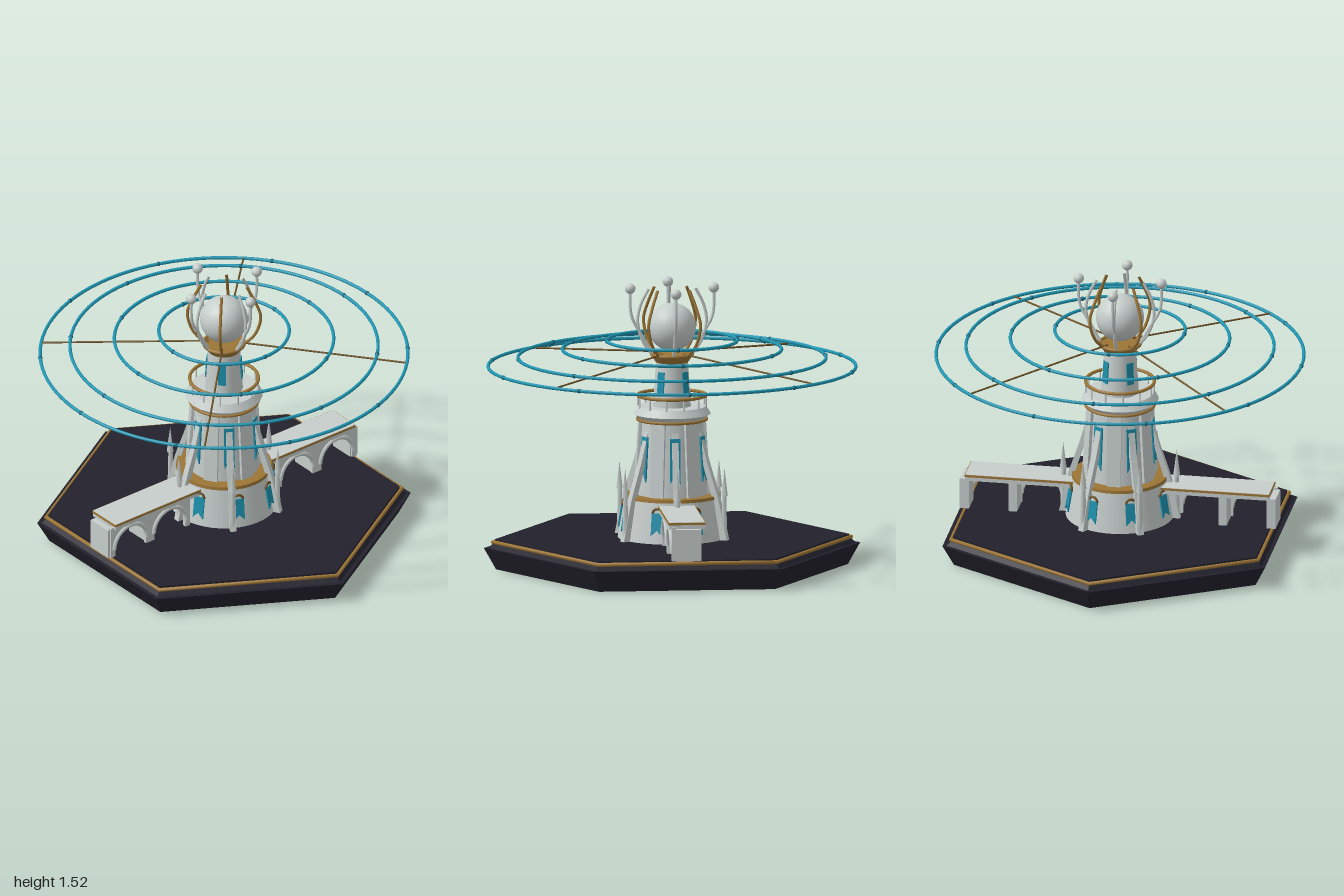
import * as THREE from 'three';

const mat = (name, color) => {
  const m = new THREE.MeshStandardMaterial({ color });
  m.name = name;
  return m;
};
const D = THREE.MathUtils.degToRad;

export function createModel() {
  const stone = mat('pale stone', 0xc6cecc);
  const dark = mat('dark slate', 0x22212c);
  const gold = mat('old gold', 0x9c7536);
  const bronze = mat('bronze', 0x6e5326);
  const teal = mat('teal cloth', 0x1c8fab);
  const ringBlue = mat('ring blue', 0x1f97b3);
  const nodeBlue = mat('node blue', 0x17677c);
  const slateFlat = dark;
  slateFlat.flatShading = true;

  const model = new THREE.Group();
  model.name = 'observatoryTower';
  const add = (name, geo, material, x = 0, y = 0, z = 0, parent = model) => {
    const m = new THREE.Mesh(geo, material);
    m.name = name;
    m.position.set(x, y, z);
    parent.add(m);
    return m;
  };
  // repeat a part around the tower; local +z points outward
  const around = (name, count, startDeg, build) => {
    for (let i = 0; i < count; i++) {
      const g = new THREE.Group();
      g.name = name;
      g.rotation.y = D(startDeg + (360 / count) * i);
      build(g);
      model.add(g);
    }
  };
  const drum = (name, material, rTop, rBottom, y0, y1, seg = 48) =>
    add(name, new THREE.CylinderGeometry(rTop, rBottom, y1 - y0, seg), material, 0, (y0 + y1) / 2, 0);
  const hoop = (name, material, r, tube, y, seg = 64) => {
    const g = new THREE.TorusGeometry(r, tube, 8, seg);
    g.rotateX(Math.PI / 2);
    return add(name, g, material, 0, y, 0);
  };
  // tube through (radius, height) points in the outward plane
  const rib = (name, pts, r, material, parent) => {
    const curve = new THREE.CatmullRomCurve3(pts.map(([o, y]) => new THREE.Vector3(0, y, o)));
    return add(name, new THREE.TubeGeometry(curve, 20, r, 8), material, 0, 0, 0, parent);
  };
  // thin hanging cloth with an optional swallowtail notch
  const bannerGeo = (w, h, notch) => {
    const s = new THREE.Shape();
    s.moveTo(-w / 2, h / 2);
    s.lineTo(-w / 2, -h / 2);
    s.lineTo(0, -h / 2 + notch);
    s.lineTo(w / 2, -h / 2);
    s.lineTo(w / 2, h / 2);
    return new THREE.ExtrudeGeometry(s, { depth: 0.008, bevelEnabled: false });
  };

  // hexagonal base
  drum('baseSlab', dark, 1.0, 0.935, 0, 0.115, 6);
  drum('baseStep', dark, 0.95, 0.975, 0.115, 0.14, 6);
  drum('baseTop', dark, 0.94, 0.94, 0.14, 0.162, 6);
  hoop('baseTrim', gold, 0.952, 0.011, 0.146, 6).rotation.y = Math.PI / 6;

  // lower drum with arched niches and banners
  drum('lowerDrum', stone, 0.25, 0.288, 0.16, 0.38);
  drum('drumBand', gold, 0.253, 0.255, 0.377, 0.394);
  const lowBanner = bannerGeo(0.06, 0.12, 0.03);
  const nicheArch = new THREE.TorusGeometry(0.026, 0.007, 6, 16, Math.PI);
  around('drumNiche', 8, 22.5, (g) => {
    add('drumBanner', lowBanner, teal, 0, 0.265, 0.274, g).rotation.x = -0.17;
    add('nicheArch', nicheArch, bronze, 0, 0.322, 0.266, g);
  });

  // main shaft, pilasters, long banners
  drum('shaft', stone, 0.165, 0.19, 0.385, 0.8);
  around('pilaster', 6, 0, (g) => {
    add('pilaster', new THREE.BoxGeometry(0.075, 0.4, 0.03), stone, 0, 0.59, 0.174, g).rotation.x = -0.06;
  });
  const longBanner = bannerGeo(0.055, 0.24, 0.05);
  around('shaftBanner', 6, 30, (g) => {
    add('shaftBanner', longBanner, teal, 0, 0.59, 0.178, g).rotation.x = -0.06;
  });

  // flying buttresses with spikes
  const bs = new THREE.Shape();
  bs.moveTo(0.165, 0.75);
  bs.splineThru([[0.21, 0.58], [0.275, 0.38], [0.325, 0.162]].map((p) => new THREE.Vector2(...p)));
  bs.lineTo(0.275, 0.162);
  bs.splineThru([[0.245, 0.36], [0.185, 0.57], [0.145, 0.74]].map((p) => new THREE.Vector2(...p)));
  const buttressGeo = new THREE.ExtrudeGeometry(bs, { depth: 0.034, bevelEnabled: false, curveSegments: 6 });
  buttressGeo.translate(0, 0, -0.017);
  buttressGeo.rotateY(-Math.PI / 2);
  around('buttress', 6, 30, (g) => {
    add('buttress', buttressGeo, stone, 0, 0, 0, g);
    add('buttressPier', new THREE.CylinderGeometry(0.012, 0.018, 0.25, 6), stone, 0, 0.285, 0.303, g);
    add('buttressSpike', new THREE.ConeGeometry(0.019, 0.15, 6), stone, 0, 0.475, 0.305, g);
  });

  // gallery with railing
  hoop('galleryBand', gold, 0.184, 0.008, 0.793);
  drum('galleryCorbel', stone, 0.2, 0.168, 0.79, 0.822, 24);
  drum('galleryFloor', stone, 0.18, 0.205, 0.822, 0.862, 24);
  hoop('galleryRail', gold, 0.182, 0.009, 0.92);
  around('railPost', 12, 15, (g) => {
    add('railPost', new THREE.CylinderGeometry(0.005, 0.005, 0.065, 6), stone, 0, 0.888, 0.182, g);
  });

  // turret with narrow windows
  drum('turret', stone, 0.085, 0.1, 0.86, 1.1);
  around('turretWindow', 4, 45, (g) => {
    add('turretWindow', bannerGeo(0.042, 0.12, 0), teal, 0, 0.99, 0.088, g).rotation.x = -0.06;
  });
  drum('globeCup', gold, 0.112, 0.082, 1.092, 1.135);
  hoop('cupRim', gold, 0.107, 0.01, 1.137);

  // globe held by curved ribs
  add('globe', new THREE.SphereGeometry(0.127, 40, 24), stone, 0, 1.284, 0);
  around('goldClaw', 4, 45, (g) => {
    rib('goldClaw', [[0.1, 1.13], [0.165, 1.2], [0.195, 1.31], [0.165, 1.4], [0.12, 1.49]], 0.008, gold, g);
  });
  around('stoneClaw', 4, 0, (g) => {
    rib('stoneClaw', [[0.1, 1.13], [0.155, 1.21], [0.183, 1.32], [0.165, 1.41], [0.125, 1.49]], 0.008, stone, g);
    rib('ballStem', [[0.1, 1.13], [0.16, 1.24], [0.21, 1.33], [0.222, 1.39], [0.222, 1.48]], 0.008, stone, g);
    add('stemBall', new THREE.SphereGeometry(0.028, 16, 12), stone, 0, 1.492, 0.222, g);
  });

  // floating rings with beads, and their spokes
  [[0.345, 1.212, 4], [0.58, 1.165, 6], [0.815, 1.12, 8], [0.973, 1.073, 10]].forEach(([r, y, n]) => {
    hoop('orbitRing', ringBlue, r, 0.009, y, 96);
    around('ringBead', n, 90, (g) => {
      add('ringBead', new THREE.SphereGeometry(0.012, 10, 8), nodeBlue, 0, y, r, g);
    });
  });
  around('ringSpoke', 4, 45, (g) => {
    rib('ringSpoke', [[0.08, 1.145], [0.97, 1.075]], 0.005, bronze, g);
  });

  // arched bridges on both sides
  const ar = 0.105;
  const panel = new THREE.Shape();
  panel.moveTo(-0.135, 0);
  panel.lineTo(-ar, 0);
  panel.lineTo(-ar, 0.045);
  panel.absarc(0, 0.045, ar, Math.PI, 0, true);
  panel.lineTo(ar, 0);
  panel.lineTo(0.135, 0);
  panel.lineTo(0.135, 0.18);
  panel.lineTo(-0.135, 0.18);
  const panelGeo = new THREE.ExtrudeGeometry(panel, { depth: 0.02, bevelEnabled: false, curveSegments: 20 });
  const archGeo = new THREE.TorusGeometry(0.112, 0.013, 8, 24, Math.PI);
  for (const s of [-1, 1]) {
    const b = new THREE.Group();
    b.name = s > 0 ? 'leftBridge' : 'rightBridge';
    model.add(b);
    add('bridgeDeck', new THREE.BoxGeometry(0.595, 0.035, 0.19), stone, s * 0.517, 0.347, 0, b);
    for (const z of [-0.093, 0.093])
      add('deckTrim', new THREE.BoxGeometry(0.595, 0.012, 0.01), gold, s * 0.517, 0.357, z, b);
    add('deckEndTrim', new THREE.BoxGeometry(0.01, 0.012, 0.19), gold, s * 0.813, 0.357, 0, b);
    add('endPier', new THREE.BoxGeometry(0.05, 0.168, 0.145), stone, s * 0.823, 0.246, 0, b);
    add('middlePier', new THREE.BoxGeometry(0.045, 0.17, 0.145), stone, s * 0.563, 0.247, 0, b);
    for (const cx of [0.7, 0.432]) {
      add('archPanel', panelGeo, stone, s * cx, 0.16, 0.062, b);
      add('archRing', archGeo, stone, s * cx, 0.205, 0.08, b);
    }
  }
  return model;
}
